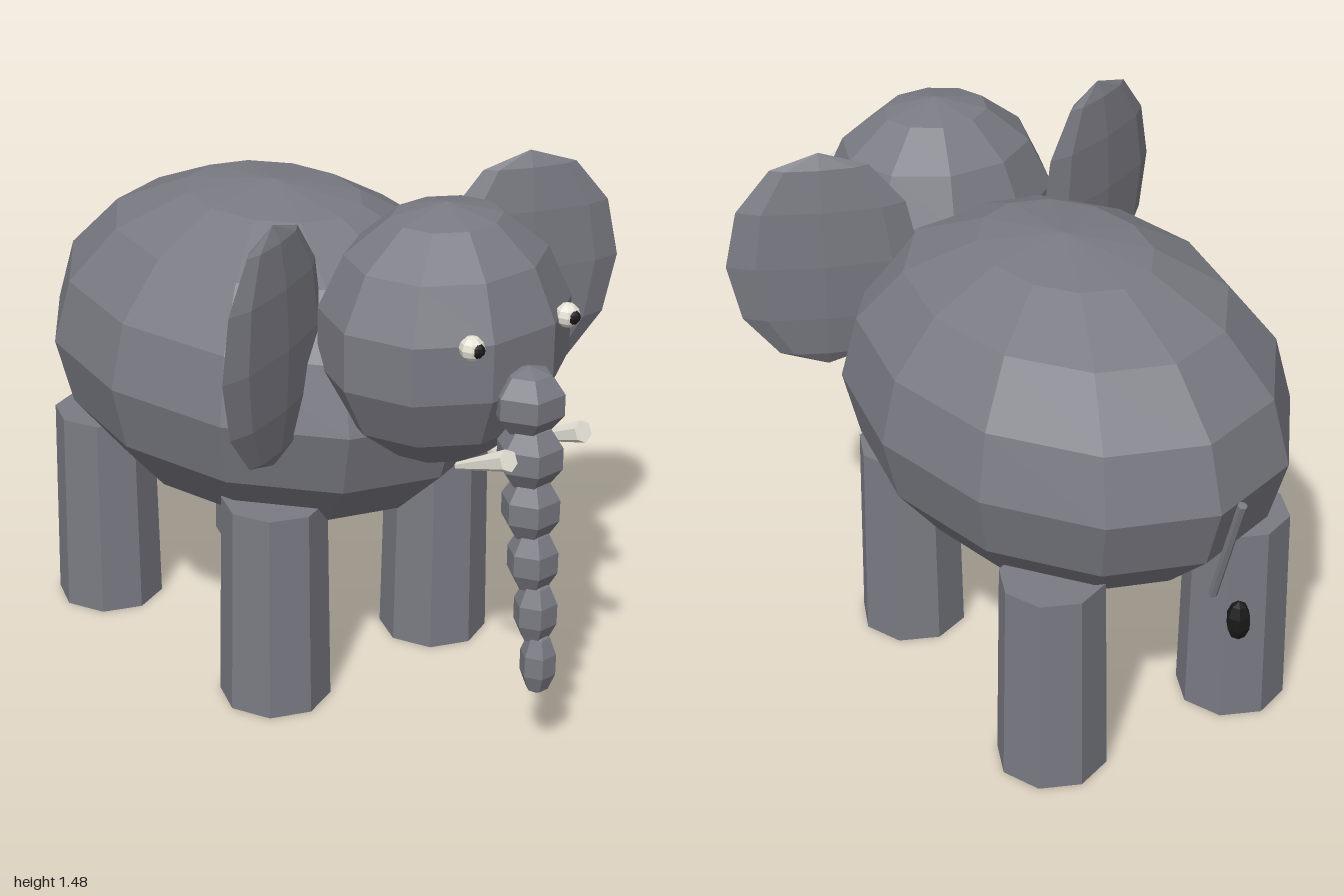
import * as THREE from 'three';

const mat = (name, color) => {
  const m = new THREE.MeshStandardMaterial({ color, flatShading: true });
  m.name = name;
  return m;
};

export function createModel() {
  const group = new THREE.Group();
  const grey = mat('elephant grey', 0x7a7a83);
  const ivory = mat('ivory', 0xf4f1e4);
  const black = mat('black', 0x1a1a1a);

  const add = (name, geo, material, pos) => {
    const mesh = new THREE.Mesh(geo, material);
    mesh.name = name;
    mesh.position.set(...pos);
    group.add(mesh);
    return mesh;
  };
  // Faceted ellipsoid with the given radii and segment counts
  const blob = (name, material, pos, radii, ws, hs) =>
    add(name, new THREE.SphereGeometry(1, ws, hs).scale(...radii), material, pos);

  blob('body', grey, [0, 0.875, -0.125], [0.57, 0.475, 0.75], 12, 8);
  blob('head', grey, [0, 1.123, 0.57], [0.355, 0.352, 0.315], 10, 7);

  // Trunk: a hanging chain of shrinking beads
  const beadZ = [0.88, 0.895, 0.905, 0.92, 0.938, 0.955];
  beadZ.forEach((z, i) => {
    const r = 0.102 - i * 0.0102;
    blob('trunkSegment' + (i + 1), grey, [0, 1.028 - i * 0.1455, z], [r, 0.095, r], 6, 5);
  });

  for (const [side, s] of [['left', 1], ['right', -1]]) {
    // Ears sweep forward at their outer edge
    const ear = blob(side + 'Ear', grey, [s * 0.45, 1.145, 0.417], [0.27, 0.33, 0.045], 8, 6);
    ear.rotation.y = -s * 0.4;

    blob(side + 'Eye', ivory, [s * 0.168, 1.205, 0.845], [0.033, 0.033, 0.033], 8, 6);
    blob(side + 'Pupil', black, [s * 0.168, 1.205, 0.864], [0.02, 0.02, 0.02], 8, 6);

    // Tusks flare towards the front
    const tusk = add(side + 'Tusk', new THREE.CylinderGeometry(0.03, 0.01, 0.2, 6), ivory, [s * 0.133, 0.885, 0.86]);
    tusk.rotation.x = Math.PI / 2 - 0.42;

    for (const [end, z] of [['Front', 0.235], ['Back', -0.545]]) {
      add(side + end + 'Leg', new THREE.CylinderGeometry(0.145, 0.155, 0.6, 8), grey, [s * 0.3, 0.3, z]);
    }
  }

  // Tail rod and tuft
  const tail = add('tail', new THREE.CylinderGeometry(0.013, 0.013, 0.355, 6), grey, [0, 0.785, -0.905]);
  tail.rotation.x = -0.31;
  blob('tailTuft', black, [0, 0.605, -0.966], [0.034, 0.058, 0.034], 6, 5);

  return group;
}
